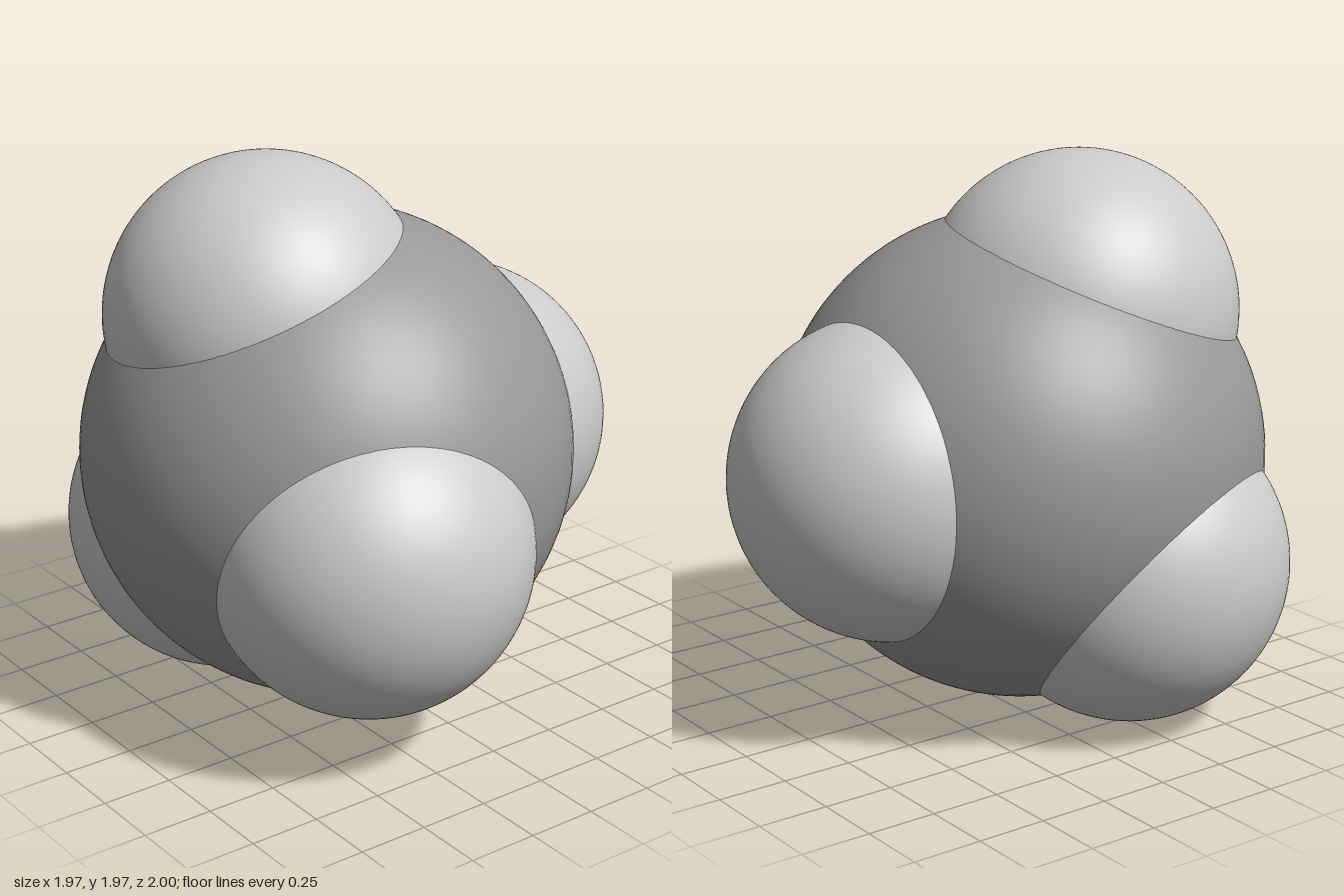
import * as THREE from 'three';

// Space-filling model of a tetrahedral molecule: one core atom and four outer atoms.
const CORE_RADIUS = 0.865;
const OUTER_RADIUS = 0.562;
const BOND = 0.547;
const CENTRE = new THREE.Vector3(-0.122, 0.898, -0.047);

function atom(name, radius, position, color) {
  const mesh = new THREE.Mesh(
    new THREE.SphereGeometry(radius, 96, 64),
    new THREE.MeshStandardMaterial({ color })
  );
  mesh.name = name;
  mesh.position.copy(position);
  return mesh;
}

export function createModel() {
  const model = new THREE.Group();
  model.name = 'molecule';

  // Large central atom
  model.add(atom('coreAtom', CORE_RADIUS, CENTRE, 0x999999));

  // Outer atom on the +x axis
  const side = new THREE.Vector3(BOND, 0, 0).add(CENTRE);
  model.add(atom('sideAtom', OUTER_RADIUS, side, 0xcccccc));

  // Three outer atoms spaced 120 degrees around the x axis, leaning to -x
  const ring = BOND * Math.sqrt(8) / 3;
  ['topAtom', 'frontAtom', 'backAtom'].forEach((name, i) => {
    const a = THREE.MathUtils.degToRad(-10.6 + 120 * i);
    const p = new THREE.Vector3(-BOND / 3, ring * Math.cos(a), ring * Math.sin(a)).add(CENTRE);
    model.add(atom(name, OUTER_RADIUS, p, 0xcccccc));
  });

  return model;
}
